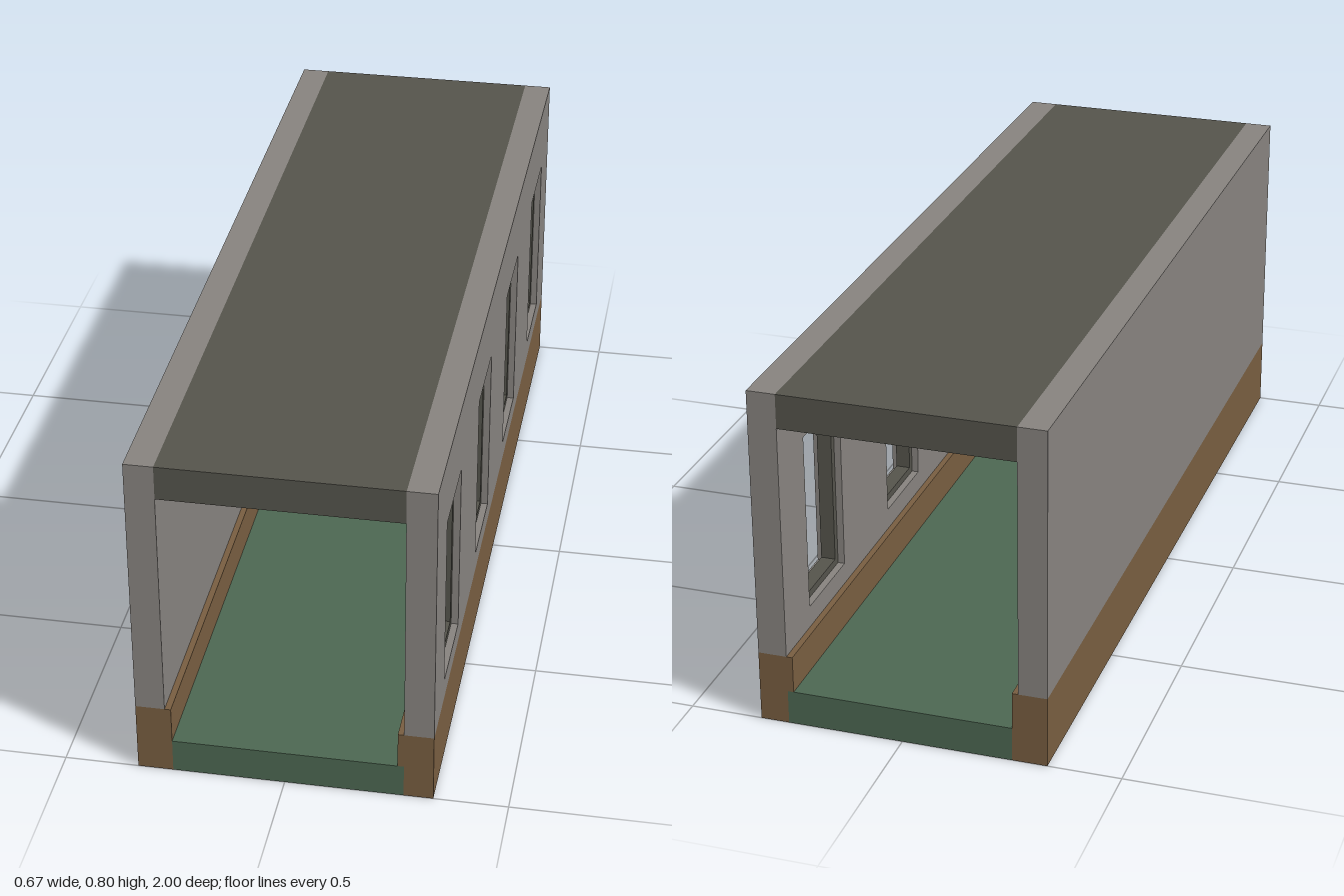
import * as THREE from 'three';

const LENGTH = 2;
const OUT = 0.333, IN = 0.267, CURB = 0.253; // outer wall face, inner wall face, curb inner face
const TOP = 0.8, CURB_TOP = 0.167, FLOOR_TOP = 0.08, ROOF_BOTTOM = 0.72;
const WINDOWS = { z: [-0.75, -0.25, 0.25, 0.75], w: 0.214, y0: 0.217, y1: 0.635, rim: 0.017 };

const material = (name, color) => {
  const m = new THREE.MeshStandardMaterial({ color });
  m.name = name;
  return m;
};

// Closed outline from corner points
const outline = (pts, Type = THREE.Shape) => new Type(pts.map(([x, y]) => new THREE.Vector2(x, y)));
const rect = (x0, y0, x1, y1, Type) => outline([[x0, y0], [x1, y0], [x1, y1], [x0, y1]], Type);
const extrude = (shape, depth) => new THREE.ExtrudeGeometry(shape, { depth, bevelEnabled: false });

export function createModel() {
  const plaster = material('grey plaster', 0x86827e);
  const wood = material('brown wood', 0x775d40);
  const dark = material('dark trim', 0x54534b);
  const green = material('green floor', 0x4c6651);

  const model = new THREE.Group();
  model.name = 'corridor';
  const add = (parent, name, geometry, mat) => {
    const mesh = new THREE.Mesh(geometry, mat);
    mesh.name = name;
    parent.add(mesh);
    return mesh;
  };

  // Parts with a constant section along the corridor
  const run = (name, shape, mat) => add(model, name, extrude(shape, LENGTH).translate(0, 0, -LENGTH / 2), mat);
  run('floor', rect(-CURB, 0, IN, FLOOR_TOP), green);
  run('roof', rect(-IN, ROOF_BOTTOM, IN, TOP), dark);
  run('rightWall', rect(-OUT, CURB_TOP, -IN, TOP), plaster);
  run('rightCurb', rect(-OUT, 0, -CURB, CURB_TOP), wood);
  run('leftCurb', outline([
    [IN, 0], [OUT, 0], [OUT, CURB_TOP], [CURB, CURB_TOP], [CURB, FLOOR_TOP], [IN, FLOOR_TOP],
  ]), wood);

  // Wall pierced by window openings
  const { z, w, y0, y1, rim } = WINDOWS;
  const wall = rect(-LENGTH / 2, CURB_TOP, LENGTH / 2, TOP);
  for (const c of z) wall.holes.push(rect(c - w / 2, y0, c + w / 2, y1, THREE.Path));
  add(model, 'leftWall', extrude(wall, OUT - IN).rotateY(Math.PI / 2).translate(IN, 0, 0), plaster);

  // Frames set halfway into the wall thickness
  const frame = rect(-w / 2, y0, w / 2, y1);
  frame.holes.push(rect(-w / 2 + rim, y0 + rim, w / 2 - rim, y1 - rim, THREE.Path));
  const depth = 0.034;
  const frameGeometry = extrude(frame, depth).rotateY(Math.PI / 2).translate((IN + OUT - depth) / 2, 0, 0);
  const frames = new THREE.Group();
  frames.name = 'windowFrames';
  model.add(frames);
  for (const c of z) add(frames, 'windowFrame', frameGeometry, dark).position.z = c;

  return model;
}
